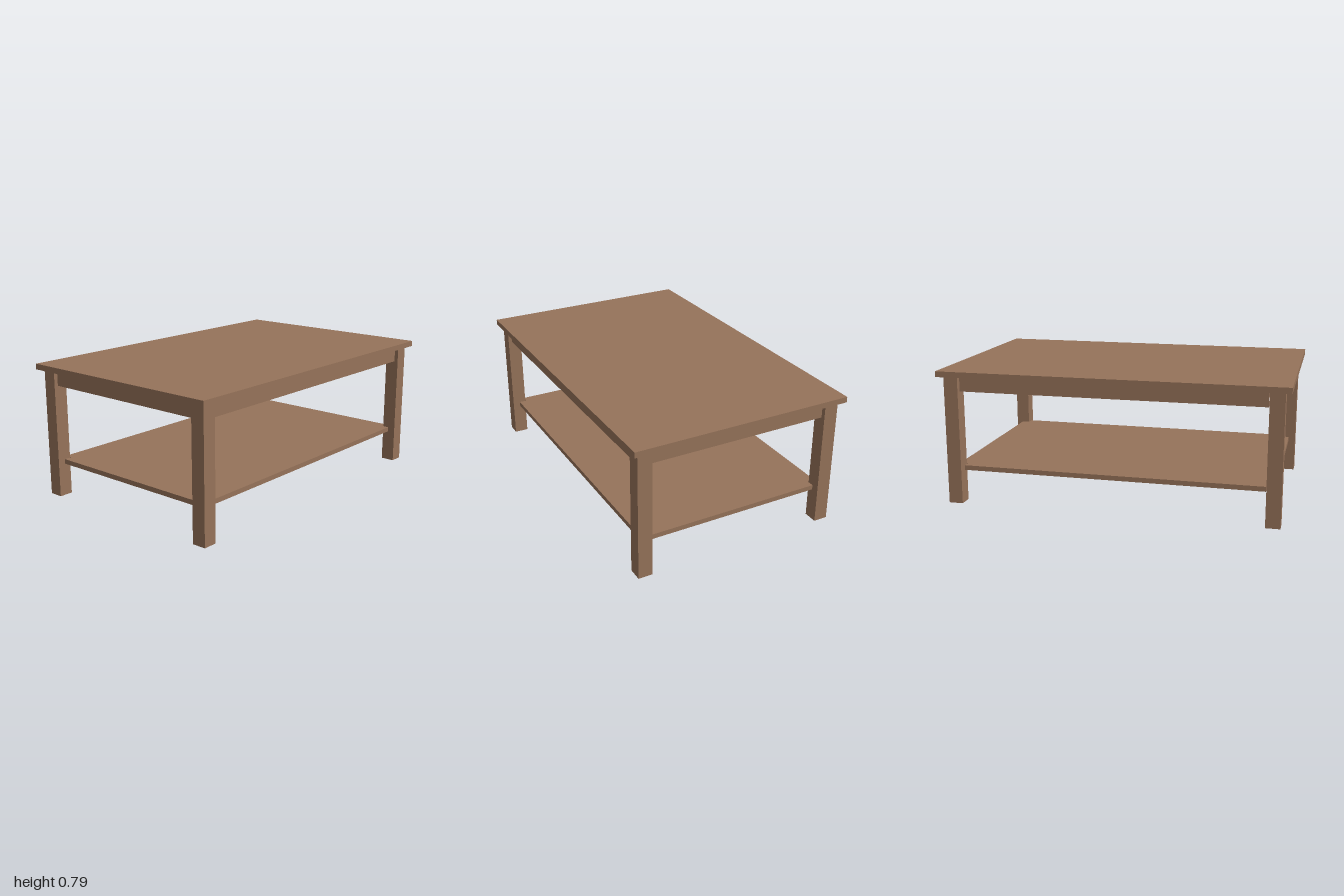
import * as THREE from 'three';

const wood = new THREE.MeshStandardMaterial({ color: 0x96735a });
wood.name = 'brown wood';

export function createModel() {
  const table = new THREE.Group();
  table.name = 'coffeeTable';

  // box from its size, centre x and z, and bottom height
  const addBox = (name, w, h, d, x, y, z) => {
    const mesh = new THREE.Mesh(new THREE.BoxGeometry(w, h, d), wood);
    mesh.name = name;
    mesh.position.set(x, y + h / 2, z);
    table.add(mesh);
  };

  addBox('tableTop', 2, 0.033, 1.292, 0, 0.755, 0);

  // four square legs
  for (const [sx, side] of [[1, 'Left'], [-1, 'Right']]) {
    for (const [sz, end] of [[1, 'front'], [-1, 'back']]) {
      addBox(`${end}${side}Leg`, 0.083, 0.755, 0.083, sx * 0.9235, 0, sz * 0.573);
    }
  }

  // apron boards, set slightly back from the outer leg faces
  for (const [s, longName, shortName] of [[1, 'frontApron', 'leftApron'], [-1, 'backApron', 'rightApron']]) {
    addBox(longName, 1.754, 0.088, 0.035, 0, 0.667, s * 0.577);
    addBox(shortName, 0.035, 0.088, 1.054, s * 0.928, 0.667, 0);
  }

  // lower shelf with its corners notched around the legs
  const X = 0.924, Z = 0.572, nx = 0.877, nz = 0.527;
  const outline = [
    [nx, -Z], [nx, -nz], [X, -nz], [X, nz], [nx, nz], [nx, Z],
    [-nx, Z], [-nx, nz], [-X, nz], [-X, -nz], [-nx, -nz], [-nx, -Z],
  ].map(([x, z]) => new THREE.Vector2(x, z));
  const shelfGeometry = new THREE.ExtrudeGeometry(new THREE.Shape(outline), { depth: 0.028, bevelEnabled: false });
  shelfGeometry.rotateX(-Math.PI / 2);
  const shelf = new THREE.Mesh(shelfGeometry, wood);
  shelf.name = 'lowerShelf';
  shelf.position.y = 0.193;
  table.add(shelf);

  return table;
}
